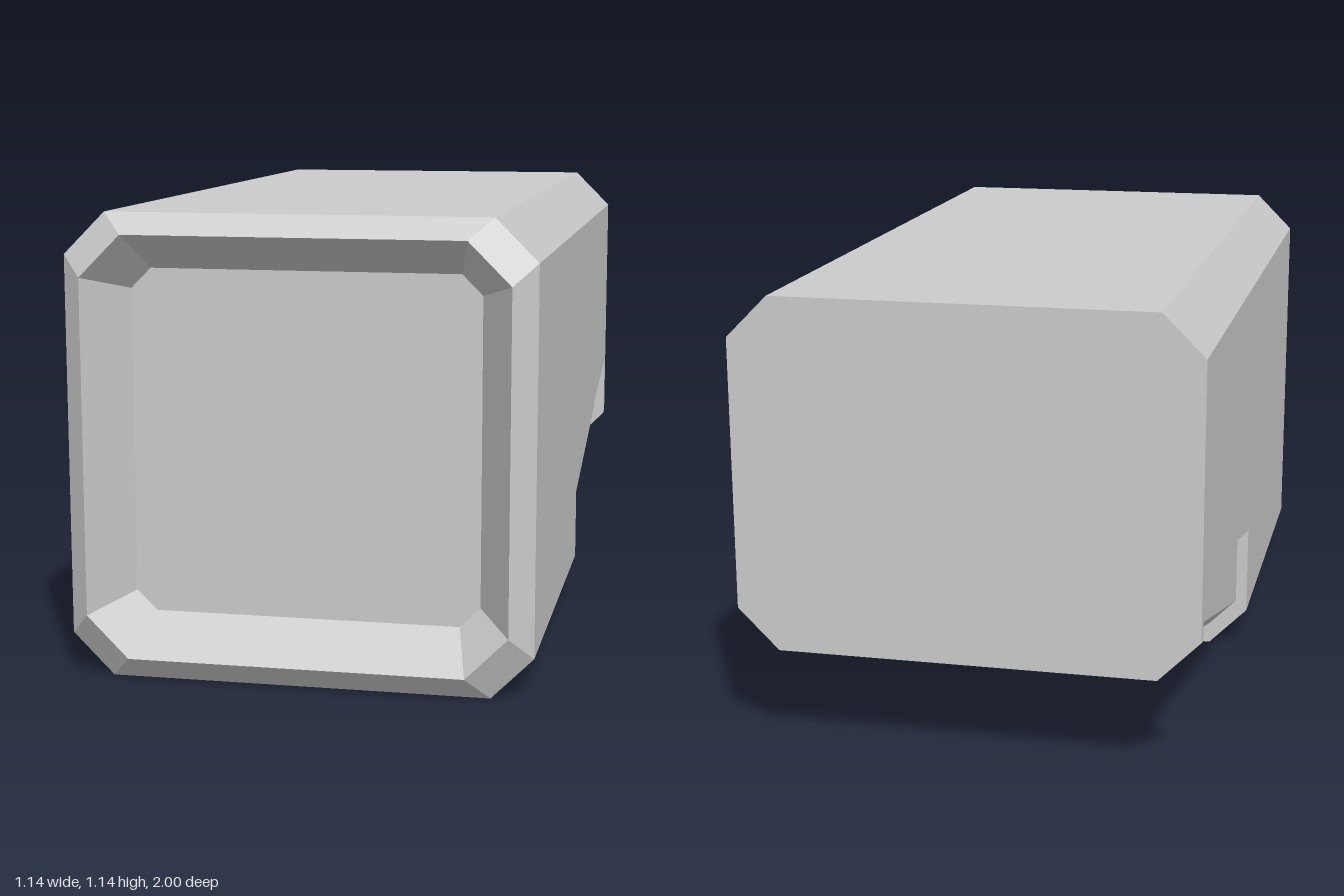
import * as THREE from 'three';

// Mirror a right-hand half profile (bottom to top) into a closed counter-clockwise loop
function loop(z, half) {
  const left = half.map(([x, y]) => [-x, y]).reverse();
  return [...half, ...left].map(([x, y]) => new THREE.Vector3(x, y, z));
}

// Rectangle with cut corners
function octagon(z, halfWidth, bottom, top, cut) {
  return loop(z, [
    [halfWidth - cut, bottom], [halfWidth, bottom + cut],
    [halfWidth, top - cut], [halfWidth - cut, top],
  ]);
}

// Skin loops ordered from back to front, with optional flat ends
function loft(name, loops, { backCap = false, frontCap = false } = {}) {
  const points = [];
  for (let s = 0; s < loops.length - 1; s++) {
    const a = loops[s], b = loops[s + 1];
    a.forEach((p, i) => {
      const j = (i + 1) % a.length;
      points.push(p, a[j], b[j], p, b[j], b[i]);
    });
  }
  const cap = (ring, flip) => {
    const centre = new THREE.Vector3(0, 0.7, ring[0].z);
    ring.forEach((p, i) => {
      const q = ring[(i + 1) % ring.length];
      points.push(centre, flip ? q : p, flip ? p : q);
    });
  };
  if (backCap) cap(loops[0], true);
  if (frontCap) cap(loops[loops.length - 1], false);

  const geometry = new THREE.BufferGeometry().setFromPoints(points);
  geometry.computeVertexNormals();
  const mesh = new THREE.Mesh(geometry, new THREE.MeshStandardMaterial({ color: 0xcccccc, flatShading: true }));
  mesh.name = name;
  return mesh;
}

export function createModel() {
  const group = new THREE.Group();
  group.name = 'monitor';

  const outer = (z, bottom = 0) => octagon(z, 0.57, bottom, 1.14, 0.103);
  const lip = octagon(1, 0.515, 0.06, 1.09, 0.103);
  const screenEdge = octagon(0.865, 0.43, 0.147, 1.0, 0.05);

  // Front half of the case, closed at the step under the rear
  group.add(loft('frontCase', [outer(-0.05), outer(0.945)], { backCap: true }));

  // Bevelled front edge and sloping frame around the screen
  group.add(loft('bezel', [outer(0.945), lip]));
  group.add(loft('screenFrame', [lip, screenEdge]));
  group.add(loft('screen', [screenEdge], { frontCap: true }));

  // Rear case: the lower part is set in and rises towards the back
  const rear = (z, bottom, ledge) => loop(z, [
    [0.47, bottom], [0.54, bottom + 0.07], [0.54, ledge], [0.57, ledge],
    [0.57, 1.037], [0.467, 1.14],
  ]);
  group.add(loft('rearCase', [rear(-0.97, 0.31, 0.53), rear(-0.05, 0.06, 0.34)]));

  // Thin full-width rim and back panel
  group.add(loft('backRim', [outer(-1, 0.26), outer(-0.97, 0.252)], { backCap: true, frontCap: true }));

  return group;
}
